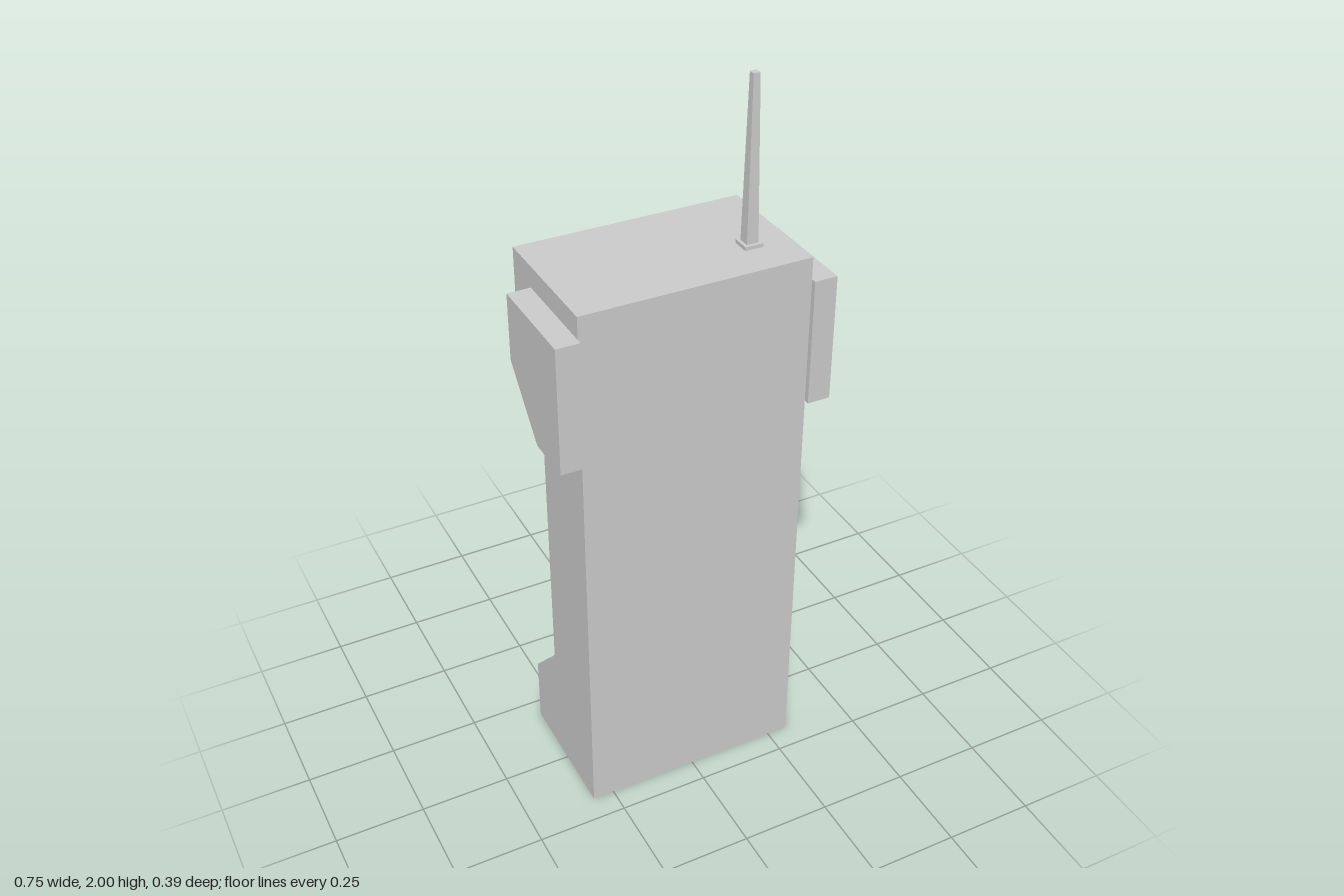
import * as THREE from 'three';

const HALF = 0.31; // half width of the body

// Side profiles as [z, y]; the keypad side faces -z
const BODY = [[0.18, 0], [0.18, 1.56], [-0.195, 1.56], [-0.195, 1.35],
  [-0.06, 1.2], [-0.06, 0.345], [-0.195, 0.2], [-0.195, 0]];
const PAD = [[0.195, 1.15], [0.195, 1.5], [-0.09, 1.5], [-0.09, 1.315], [0.055, 1.15]];

// Recesses cut in the body, keyed by profile edge: half width, start and end along the edge, depth
const RECESSES = {
  2: { name: 'displayRecess', w: 0.272, v0: 0.032, v1: 0.17, depth: 0.03 },
  5: { name: 'microphoneSlot', w: 0.077, v0: 0.122, v1: 0.178, depth: 0.02 },
};

export function createModel() {
  const group = new THREE.Group();
  const grey = new THREE.MeshStandardMaterial({ color: 0xcccccc, flatShading: true });
  const inner = new THREE.MeshStandardMaterial({ color: 0xcccccc, flatShading: true, side: THREE.DoubleSide });

  const add = (parent, name, geometry, material = grey) => {
    const mesh = new THREE.Mesh(geometry, material);
    mesh.name = name;
    parent.add(mesh);
    return mesh;
  };
  const rect = (Type, w, v0, v1) => new Type([[-w, v0], [w, v0], [w, v1], [-w, v1]]
    .map(([x, y]) => new THREE.Vector2(x, y)));

  // Side profile standing on the body's flank, facing outward; depth 0 gives a flat cap
  const flank = (profile, side, depth) => {
    const shape = new THREE.Shape(profile.map(([z, y]) => new THREE.Vector2(-side * z, y)));
    const geometry = depth
      ? new THREE.ExtrudeGeometry(shape, { depth, bevelEnabled: false })
      : new THREE.ShapeGeometry(shape);
    return geometry.rotateY(side * Math.PI / 2).translate(side * HALF, 0, 0);
  };

  // Body shell: one panel per profile edge, some with a recess
  const body = new THREE.Group();
  body.name = 'body';
  group.add(body);
  BODY.forEach(([z0, y0], i) => {
    const [z1, y1] = BODY[(i + 1) % BODY.length];
    const along = new THREE.Vector3(0, y1 - y0, z1 - z0);
    const length = along.length();
    const across = new THREE.Vector3(1, 0, 0);
    along.normalize();
    const frame = new THREE.Matrix4()
      .makeBasis(across, along, across.clone().cross(along))
      .setPosition(0, y0, z0);
    const panel = rect(THREE.Shape, HALF, 0, length);
    const r = RECESSES[i];
    if (r) {
      panel.holes.push(rect(THREE.Path, r.w, r.v0, r.v1));
      // Open-fronted box lining the recess
      const box = new THREE.BoxGeometry(2 * r.w, r.v1 - r.v0, r.depth);
      const index = Array.from(box.index.array);
      index.splice(24, 6);
      box.setIndex(index);
      box.clearGroups();
      box.translate(0, (r.v0 + r.v1) / 2, -r.depth / 2).applyMatrix4(frame);
      add(body, r.name, box, inner);
    }
    add(body, 'bodyPanel', new THREE.ShapeGeometry(panel).applyMatrix4(frame));
  });

  // Flat sides and the raised pads beside the earpiece
  for (const side of [-1, 1]) {
    const label = side > 0 ? 'left' : 'right';
    add(body, label + 'Side', flank(BODY, side, 0));
    add(group, label + 'Pad', flank(PAD, side, 0.063));
  }

  // Keys: rectangles with cut corners
  const keyGeometry = (w, h, cx, cy) => {
    const a = w / 2, b = h / 2;
    const shape = new THREE.Shape([[a - cx, -b], [a, cy - b], [a, b - cy], [a - cx, b],
      [cx - a, b], [-a, b - cy], [-a, cy - b], [cx - a, -b]]
      .map(([x, y]) => new THREE.Vector2(x, y)));
    return new THREE.ExtrudeGeometry(shape, { depth: 0.035, bevelEnabled: false });
  };
  const wideKey = keyGeometry(0.147, 0.074, 0.033, 0.024);
  const smallKey = keyGeometry(0.107, 0.083, 0.026, 0.024);
  const keypad = new THREE.Group();
  keypad.name = 'keypad';
  group.add(keypad);
  for (const x of [-0.175, 0, 0.175]) {
    for (let row = 0; row < 4; row++) {
      add(keypad, 'wideKey', wideKey).position.set(x, 1.095 - row * 0.1, -0.094);
    }
    const rows = x === 0 ? 2 : 3; // the middle column is one key short
    for (let row = 0; row < rows; row++) {
      add(keypad, 'smallKey', smallKey).position.set(x, 0.64 - row * 0.1, -0.094);
    }
  }

  // Square tapered antenna on a thin foot
  const antenna = new THREE.Group();
  antenna.name = 'antenna';
  antenna.position.set(0.205, 1.56, 0.055);
  group.add(antenna);
  add(antenna, 'antennaFoot', new THREE.BoxGeometry(0.05, 0.01, 0.05).translate(0, 0.005, 0));
  const rod = new THREE.CylinderGeometry(0.009 * Math.SQRT2, 0.016 * Math.SQRT2, 0.43, 4);
  add(antenna, 'antennaRod', rod.rotateY(Math.PI / 4).translate(0, 0.225, 0));

  return group;
}
